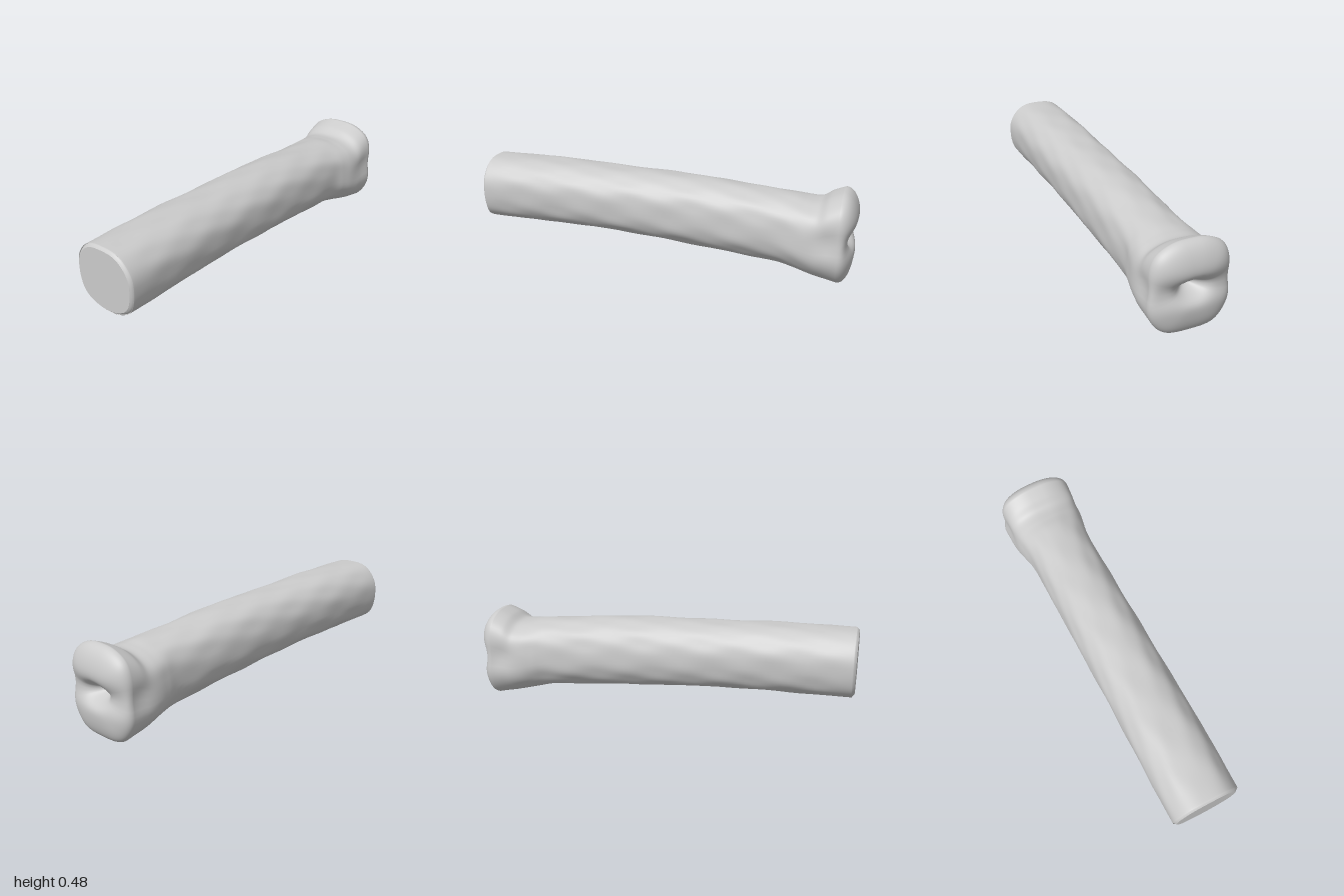
import * as THREE from 'three';

const SEG = 72;
const material = new THREE.MeshStandardMaterial({ color: 0xcccccc });

// x, bottom, top, half width, squareness of the cross-section
const stations = [
  [-1, 0.16, 0.472, 0.162, 2.4], [-0.985, 0.148, 0.484, 0.174, 2.4], [-0.95, 0.144, 0.487, 0.179, 2.4],
  [-0.6, 0.143, 0.487, 0.179, 2.4], [-0.3, 0.137, 0.476, 0.175, 2.4], [0, 0.118, 0.469, 0.173, 2.4],
  [0.25, 0.099, 0.458, 0.171, 2.4], [0.45, 0.082, 0.441, 0.171, 2.4], [0.6, 0.071, 0.429, 0.172, 2.5],
  [0.68, 0.055, 0.422, 0.186, 2.5], [0.74, 0.042, 0.413, 0.198, 2.6], [0.8, 0.028, 0.412, 0.205, 2.7],
  [0.85, 0.018, 0.443, 0.207, 2.8], [0.91, 0.005, 0.468, 0.207, 2.9],
];
const curves = [1, 2, 3, 4].map(k => new THREE.SplineCurve(stations.map(s => new THREE.Vector2(s[0], s[k]))));

const bump = (v, centre, width) => Math.exp(-(((v - centre) / width) ** 2));
const power = (v, p) => Math.sign(v) * Math.abs(v) ** p;

// Shallow weathered ridges running along the shaft
function ridges(x, a) {
  const fade = THREE.MathUtils.smoothstep(x, -1, -0.8) * (1 - THREE.MathUtils.smoothstep(x, 0.6, 0.85));
  return 1 + 0.007 * Math.sin(7 * a + 1.5 * Math.sin(2 * x)) +
    fade * (0.009 * Math.sin(5 * a + 9 * x) * Math.sin(13 * x + 2 * a) + 0.007 * Math.sin(11 * a - 17 * x));
}

// One closed cross-section at parameter u along the bone
function section(u) {
  const [b, t, w, n] = curves.map(c => c.getPoint(u));
  const x = b.x, cy = (b.y + t.y) / 2, h = (t.y - b.y) / 2;
  const ring = [];
  for (let j = 0; j < SEG; j++) {
    const a = (j / SEG) * Math.PI * 2, r = ridges(x, a);
    const y = cy + h * power(Math.cos(a), 2 / n.y) * r;
    const z = w.y * power(Math.sin(a), 2 / n.y) * r;
    // hollow between the two knuckles on each side
    const hollow = 1 - 0.08 * bump(x, 0.86, 0.08) * bump(y, 0.25, 0.06);
    ring.push([x, y, z * hollow]);
  }
  return ring;
}

// Rings closing over the knuckles, with a cross groove and a deep central pit
function knuckleRings(rim) {
  const rings = [], cy = 0.237;
  for (let i = 1; i <= 32; i++) {
    const t = i / 32, k = Math.cos(t * Math.PI / 2);
    rings.push(rim.map(p => {
      const y = cy + (p[1] - cy) * k, z = p[2] * k;
      let x = 0.91 + 0.088 * Math.sqrt(1 - k ** 2.6);
      x -= 0.012 * (1 - THREE.MathUtils.smoothstep(y, 0.1, 0.3)) * (1 - k ** 4);
      x -= 0.035 * bump(y, 0.243, 0.065) * (1 - k ** 4);
      x -= 0.085 * bump(y, 0.237, 0.04) * bump(z, 0, 0.065);
      return [x, y, z];
    }));
  }
  return rings;
}

function loft(rings) {
  const index = [];
  for (let i = 0; i < rings.length - 1; i++) {
    for (let j = 0; j < SEG; j++) {
      const a = i * SEG + j, b = i * SEG + (j + 1) % SEG;
      index.push(a, b, a + SEG, b, b + SEG, a + SEG);
    }
  }
  return build(rings.flat(), index);
}

function build(points, index) {
  const g = new THREE.BufferGeometry();
  g.setAttribute('position', new THREE.Float32BufferAttribute(points.flat(), 3));
  g.setIndex(index);
  g.computeVertexNormals();
  return g;
}

export function createModel() {
  const group = new THREE.Group();
  group.name = 'bone';
  const add = (name, geometry) => {
    const mesh = new THREE.Mesh(geometry, material);
    mesh.name = name;
    group.add(mesh);
  };

  // Shaft flaring into the knuckle end
  const rings = [], steps = (stations.length - 1) * 9;
  for (let i = 0; i <= steps; i++) rings.push(section(i / steps));
  const rim = rings[rings.length - 1];
  add('shaftAndKnuckles', loft([...rings, ...knuckleRings(rim)]));

  // Flat sawn end
  const cap = [...rings[0], [-1, 0.316, 0]], index = [];
  for (let j = 0; j < SEG; j++) index.push(SEG, (j + 1) % SEG, j);
  add('sawnEnd', build(cap, index));

  return group;
}
